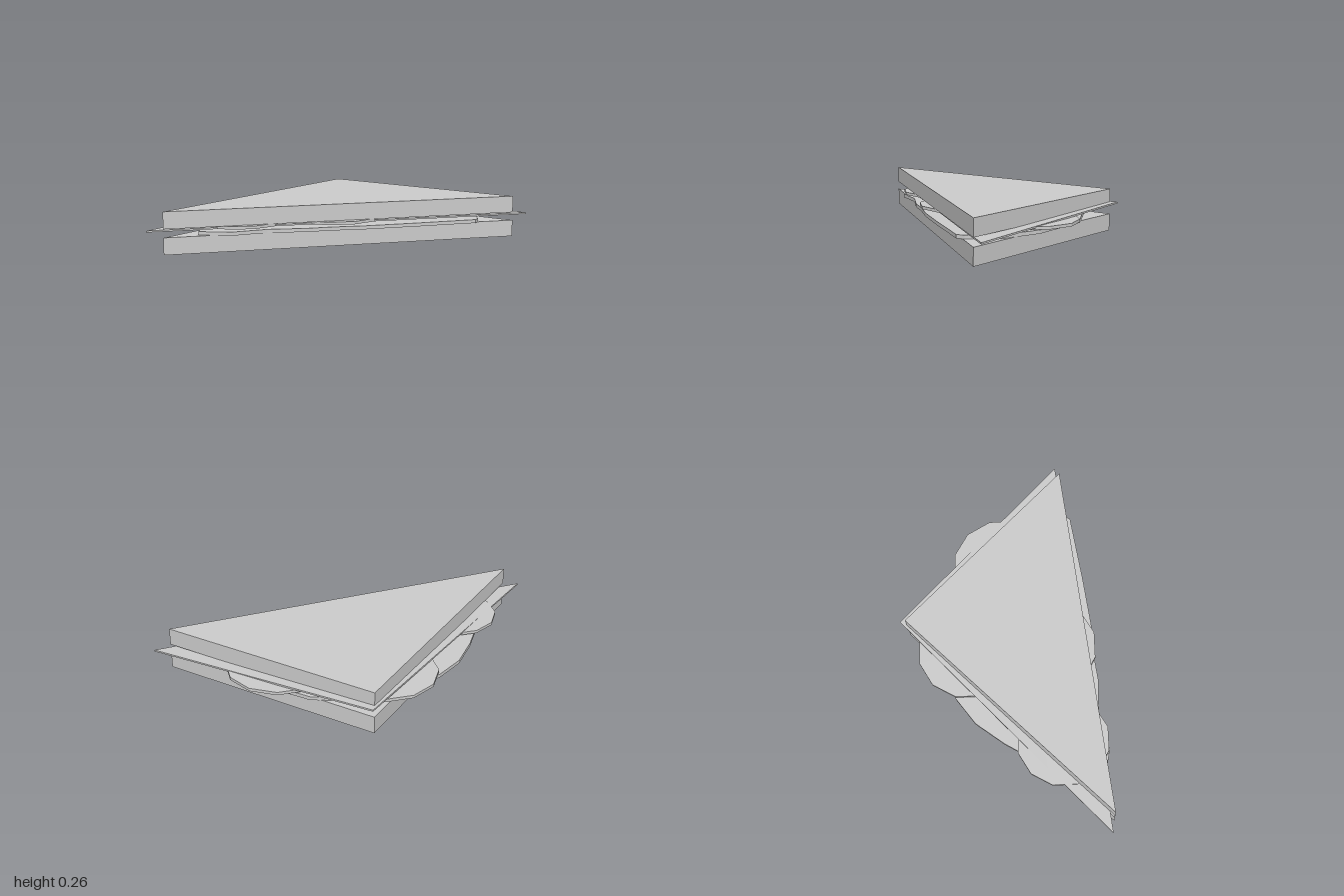
import * as THREE from 'three';

const material = new THREE.MeshStandardMaterial({ color: 0xcccccc, flatShading: true });

// Flat slab from [x, z] corners, lying between two heights
function slab(name, corners, bottom, top) {
  const shape = new THREE.Shape(corners.map(([x, z]) => new THREE.Vector2(x, -z)));
  const geometry = new THREE.ExtrudeGeometry(shape, { depth: top - bottom, bevelEnabled: false });
  geometry.rotateX(-Math.PI / 2).translate(0, bottom, 0);
  const mesh = new THREE.Mesh(geometry, material);
  mesh.name = name;
  return mesh;
}

export function createModel() {
  const group = new THREE.Group();
  group.name = 'sandwich';

  // Two triangular bread slices
  const bread = [[-0.645, -0.83], [-0.645, 0.93], [0.755, -0.83]];
  group.add(slab('lowerBread', bread, 0, 0.105));
  group.add(slab('upperBread', bread, 0.157, 0.262));

  // Irregular leaf resting on the lower slice
  const leaf = [
    [-0.77, -0.28], [-0.8, -0.08], [-0.77, 0.14], [-0.72, 0.34], [-0.64, 0.6],
    [-0.54, 0.74], [-0.45, 0.69], [-0.36, 0.63], [-0.25, 0.44], [-0.08, 0.28],
    [0.02, 0.15], [0.16, 0], [0.36, -0.26], [0.61, -0.6], [0.6, -0.65],
    [0.48, -0.8], [0.2, -0.88], [-0.25, -0.86], [-0.55, -0.7],
  ];
  group.add(slab('leaf', leaf, 0.104, 0.126));

  // Round twelve-sided slices poking out from the filling
  const discs = [
    [-0.49, -0.44, 0.318], [-0.15, -0.1, 0.316], [-0.516, 0.39, 0.284], [0.065, -0.68, 0.32],
  ];
  discs.forEach(([x, z, radius], i) => {
    const disc = new THREE.Mesh(new THREE.CylinderGeometry(radius, radius, 0.018, 12), material);
    disc.position.set(x, 0.149, z);
    disc.name = `roundSlice${i + 1}`;
    group.add(disc);
  });

  // Thin cheese triangle, tilted up at the square corner
  const cheese = slab('cheese', [[-0.66, -0.875], [-0.725, 0.99], [0.805, -0.92]], 0.138, 0.148);
  const p = cheese.geometry.attributes.position;
  for (let i = 0; i < p.count; i++) {
    if (p.getX(i) < 0 && p.getZ(i) < 0) p.setY(i, p.getY(i) + 0.034);
  }
  cheese.geometry.computeVertexNormals();
  group.add(cheese);

  return group;
}
